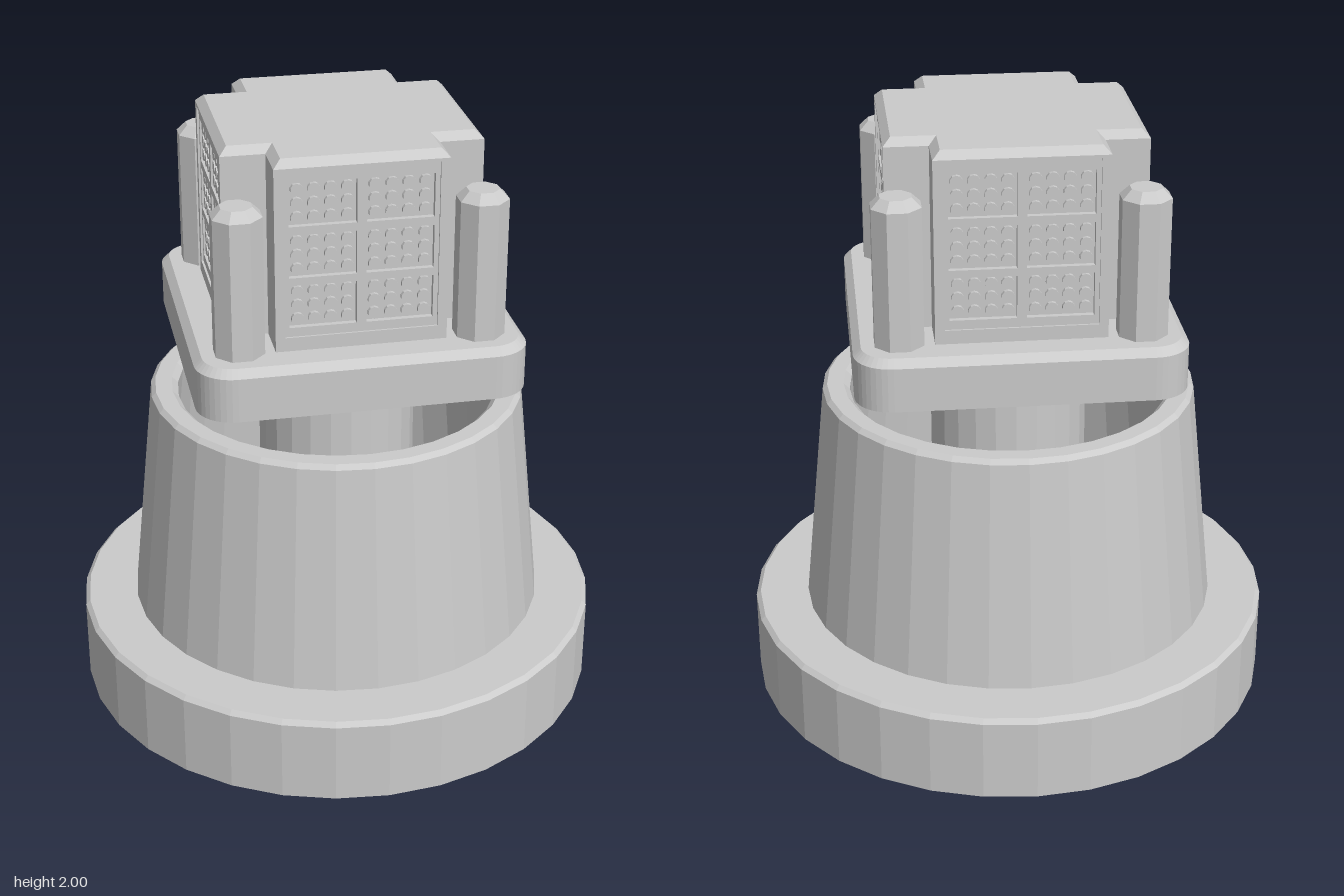
import * as THREE from 'three';
import { mergeGeometries } from 'three/addons/utils/BufferGeometryUtils.js';

const material = new THREE.MeshStandardMaterial({ color: 0xcccccc, flatShading: true });

function add(parent, name, geometry, x = 0, y = 0, z = 0) {
  const mesh = new THREE.Mesh(geometry, material);
  mesh.name = name;
  mesh.position.set(x, y, z);
  parent.add(mesh);
  return mesh;
}

const lathe = (points, sides = 32) =>
  new THREE.LatheGeometry(points.map(([r, y]) => new THREE.Vector2(r, y)), sides);

// Upright slab from y0 to y1 with a flat underside and a bevelled top edge
function bevelledSlab(shape, y0, y1, bevel) {
  const g = new THREE.ExtrudeGeometry(shape, {
    depth: y1 - y0 - bevel, bevelEnabled: true, bevelThickness: bevel,
    bevelSize: bevel, bevelOffset: -bevel, bevelSegments: 1, curveSegments: 5,
  });
  const p = g.attributes.position;
  for (let i = 0; i < p.count; i++) p.setZ(i, Math.max(0, p.getZ(i)));
  g.rotateX(-Math.PI / 2).translate(0, y0, 0);
  g.computeVertexNormals();
  return g;
}

function roundedSquare(h, r) {
  const s = new THREE.Shape();
  s.absarc(h - r, h - r, r, 0, Math.PI / 2);
  s.absarc(r - h, h - r, r, Math.PI / 2, Math.PI);
  s.absarc(r - h, r - h, r, Math.PI, Math.PI * 1.5);
  s.absarc(h - r, r - h, r, Math.PI * 1.5, Math.PI * 2);
  return s;
}

// Plus-shaped outline: arms reach a, half width w
const crossShape = (a, w) => new THREE.Shape([
  [w, -a], [w, -w], [a, -w], [a, w], [w, w], [w, a],
  [-w, a], [-w, w], [-a, w], [-a, -w], [-w, -w], [-w, -a],
].map(([x, y]) => new THREE.Vector2(x, y)));

const corners = (x0, y0, x1, y1) =>
  [[x0, y0], [x1, y0], [x1, y1], [x0, y1]].map(([x, y]) => new THREE.Vector2(x, y));

// Flat plate with rectangular openings
function framePlate(outer, openings, depth) {
  const shape = new THREE.Shape(corners(...outer));
  for (const o of openings) shape.holes.push(new THREE.Path(corners(...o).reverse()));
  return new THREE.ExtrudeGeometry(shape, { depth, bevelEnabled: false });
}

// One lamp face: rim, window grid and rows of round studs
function createLampPanel() {
  const panel = new THREE.Group();
  panel.name = 'lampPanel';
  const opening = [-0.24, 1.425, 0.24, 1.965];
  add(panel, 'panelRim', framePlate([-0.27, 1.38, 0.27, 1.975], [opening], 0.025), 0, 0, 0.385);

  const windows = [];
  const studs = [];
  for (const cx of [-0.12, 0.12]) {
    for (const cy of [1.525, 1.69, 1.857]) {
      windows.push([cx - 0.105, cy - 0.07, cx + 0.105, cy + 0.07]);
      for (let i = 0; i < 4; i++) {
        for (let j = 0; j < 3; j++) {
          studs.push(new THREE.CylinderGeometry(0.02, 0.02, 0.014, 10)
            .rotateX(Math.PI / 2)
            .translate(cx + (i - 1.5) * 0.052, cy + (j - 1) * 0.045, 0.391));
        }
      }
    }
  }
  add(panel, 'windowGrid', framePlate(opening, windows, 0.018), 0, 0, 0.385);
  add(panel, 'lampStuds', mergeGeometries(studs));
  return panel;
}

export function createModel() {
  const model = new THREE.Group();
  model.name = 'beacon';

  // Round foot and hollow tapered housing
  add(model, 'foot', lathe([[0, 0], [0.88, 0], [0.88, 0.275], [0.865, 0.29], [0, 0.29]]));
  add(model, 'taperedHousing', lathe([
    [0.70, 0.285], [0.62, 1.055], [0.605, 1.07], [0.55, 1.07],
    [0.53, 1.05], [0.61, 0.3], [0, 0.3],
  ]));
  add(model, 'neck', new THREE.CylinderGeometry(0.26, 0.26, 0.92, 24), 0, 0.755, 0);

  // Square platform
  add(model, 'platform', bevelledSlab(roundedSquare(0.525, 0.12), 1.21, 1.38, 0.025));

  // Lamp head: recessed core, bevelled cap and four identical faces
  const head = new THREE.Group();
  head.name = 'lampHead';
  model.add(head);
  const core = new THREE.ExtrudeGeometry(crossShape(0.385, 0.27), { depth: 0.585, bevelEnabled: false });
  add(head, 'headCore', core.rotateX(-Math.PI / 2), 0, 1.38, 0);
  add(head, 'headCap', bevelledSlab(crossShape(0.41, 0.27), 1.965, 2, 0.025));
  for (let i = 0; i < 4; i++) {
    const panel = createLampPanel();
    panel.rotation.y = i * Math.PI / 2;
    head.add(panel);
  }

  // Octagonal corner posts with chamfered tops
  for (const x of [-0.38, 0.38]) {
    for (const z of [-0.38, 0.38]) {
      const post = lathe([[0, 1.375], [0.083, 1.375], [0.083, 1.83], [0.052, 1.86], [0, 1.86]], 8);
      add(model, 'cornerPost', post.rotateY(Math.PI / 8), x, 0, z);
    }
  }
  return model;
}
